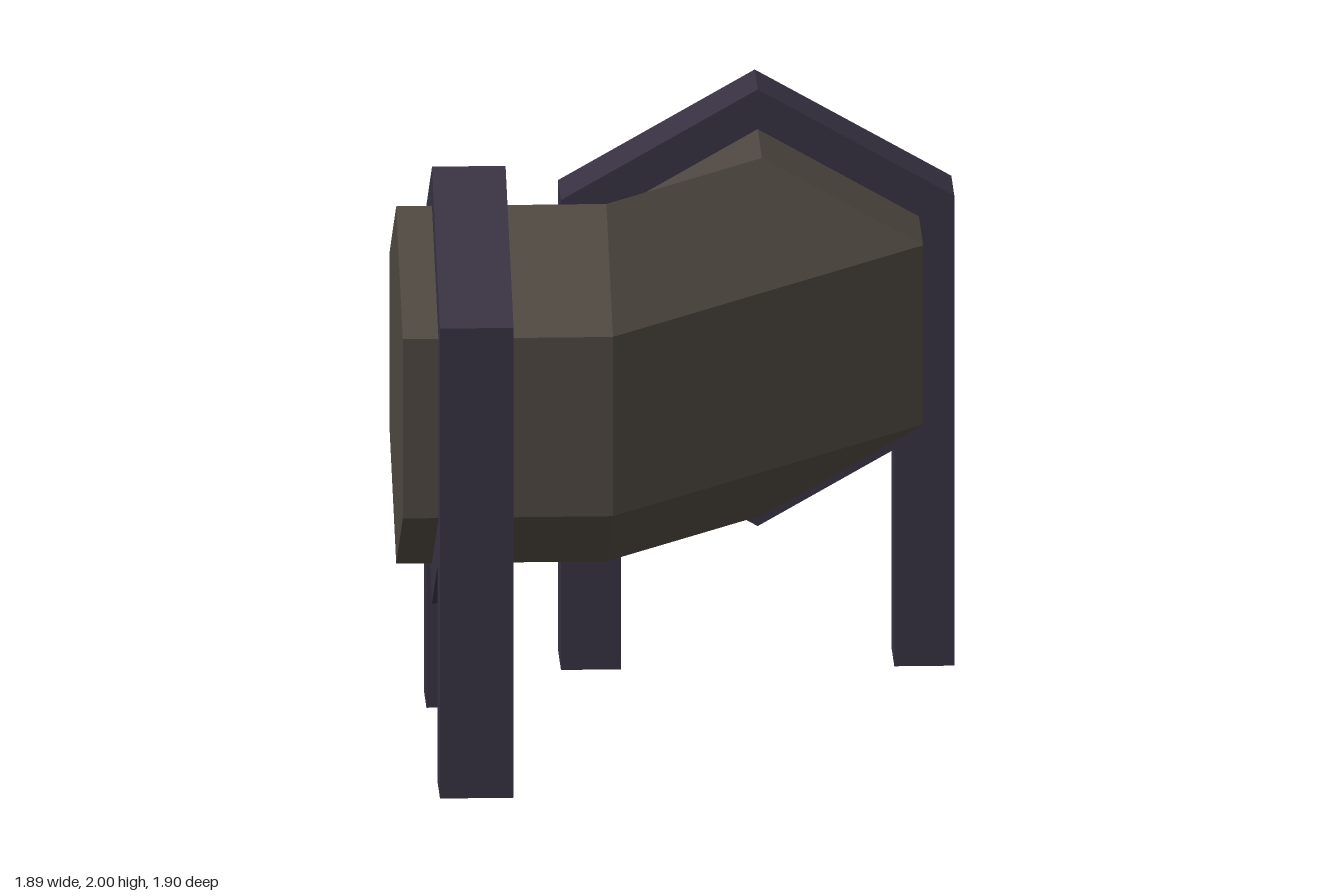
import * as THREE from 'three';

const MID = 0.29;        // offset of the tunnel and frame centre lines
const PIVOT = -0.25;     // inner corner of the bend
const AXIS_Y = 1.245;    // height of the tunnel axis

// Hexagonal tunnel swept through a mitred 90 degree bend, closed at both ends
function tunnelGeometry() {
  const w = 0.537, top = 0.618, s = 0.31;
  const hex = [[0, top], [w, s], [w, -s], [0, -top], [-w, -s], [-w, s]];
  const alongX = x => hex.map(([u, y]) => [x, AXIS_Y + y, MID + u]);
  const alongZ = z => hex.map(([u, y]) => [MID + u, AXIS_Y + y, z]);
  const rings = [alongX(-0.95), alongX(PIVOT), alongZ(PIVOT), alongZ(-0.95)];

  const pos = [];
  const tri = (a, b, c) => {
    // the inner walls meet in one corner edge, so skip collapsed faces
    const [A, B, C] = [a, b, c].map(p => new THREE.Vector3(...p));
    if (B.sub(A).cross(C.sub(A)).length() > 0.005) pos.push(...a, ...b, ...c);
  };
  for (let r = 0; r < rings.length - 1; r++) {
    const a = rings[r], b = rings[r + 1];
    for (let i = 0; i < 6; i++) {
      const j = (i + 1) % 6;
      tri(a[i], a[j], b[j]);
      tri(a[i], b[j], b[i]);
    }
  }
  for (let i = 1; i < 5; i++) {
    tri(rings[0][0], rings[0][i + 1], rings[0][i]);
    tri(rings[3][0], rings[3][i], rings[3][i + 1]);
  }
  const geo = new THREE.BufferGeometry();
  geo.setAttribute('position', new THREE.Float32BufferAttribute(pos, 3));
  geo.computeVertexNormals();
  return geo;
}

// Hexagonal collar with two straight legs, cut from one slab
function frameGeometry() {
  const half = [[0.655, 1.625], [0.655, 0], [0.455, 0], [0.455, 0.75]];
  const outline = [
    [0, 2], ...half, [0, 0.49],
    ...half.slice().reverse().map(([x, y]) => [-x, y]),
  ];
  const shape = new THREE.Shape(outline.map(p => new THREE.Vector2(...p)));
  return new THREE.ExtrudeGeometry(shape, { depth: 0.245, bevelEnabled: false });
}

export function createModel() {
  const model = new THREE.Group();
  const bodyMat = new THREE.MeshStandardMaterial({ color: 0x4d463f, flatShading: true });
  const frameMat = new THREE.MeshStandardMaterial({ color: 0x363040, flatShading: true });

  const tunnel = new THREE.Mesh(tunnelGeometry(), bodyMat);
  tunnel.name = 'bentTunnel';
  model.add(tunnel);

  // One support frame near each end of the tunnel
  const geo = frameGeometry();
  const backFrame = new THREE.Mesh(geo, frameMat);
  backFrame.name = 'backSupportFrame';
  backFrame.position.set(MID, 0, -0.848);

  const sideFrame = new THREE.Mesh(geo, frameMat);
  sideFrame.name = 'sideSupportFrame';
  sideFrame.rotation.y = -Math.PI / 2;
  sideFrame.position.set(-0.586, 0, MID + 0.005);

  model.add(backFrame, sideFrame);
  return model;
}
